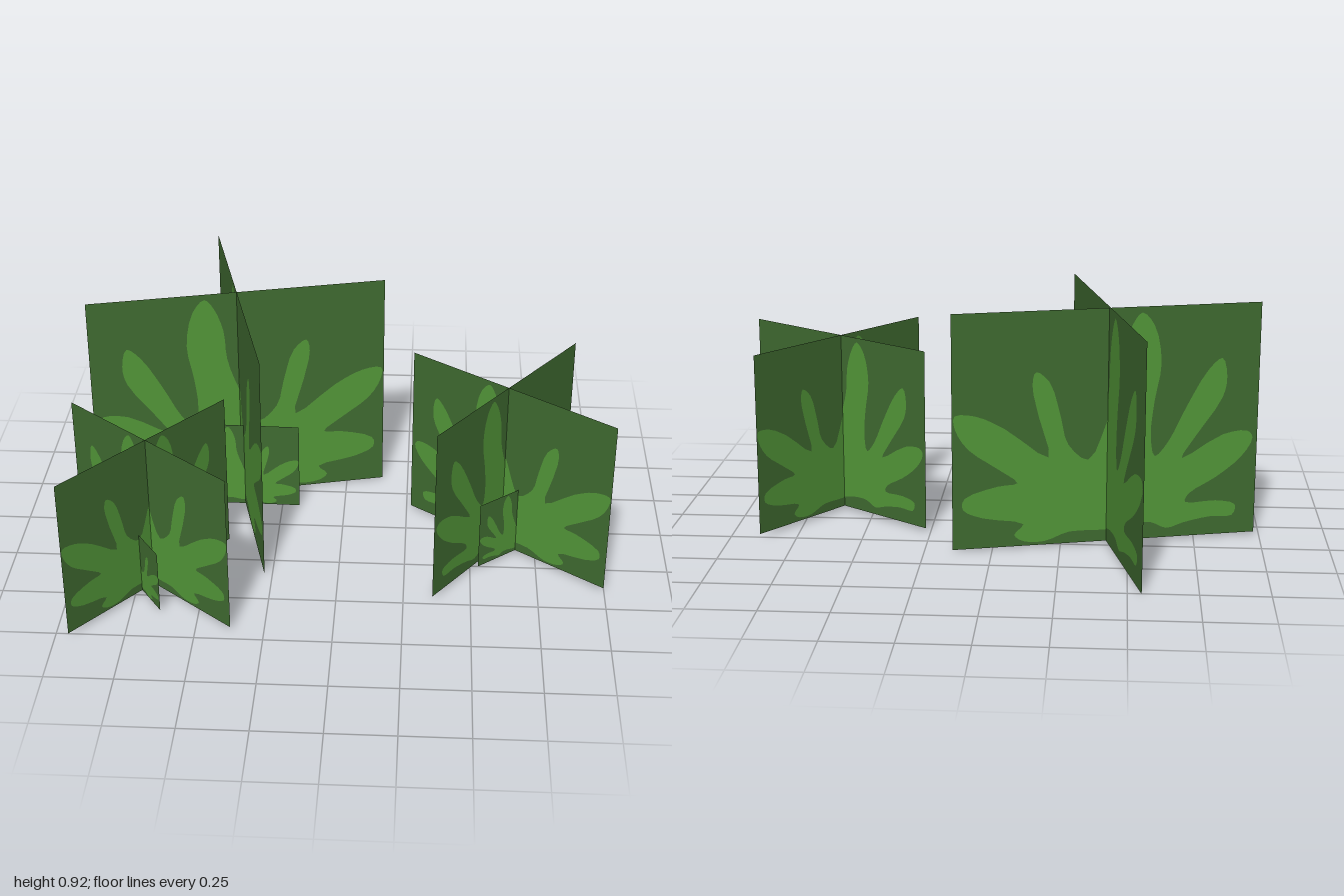
import * as THREE from 'three';

const background = new THREE.MeshStandardMaterial({ color: 0x3f6a30, side: THREE.DoubleSide });
background.name = 'dark green';
const leafGreen = new THREE.MeshStandardMaterial({ color: 0x529638, side: THREE.DoubleSide });
leafGreen.name = 'leaf green';

// Lobed leaf outline on a unit card, clockwise from the base
const leafPoints = [
  [0.5, 0.05], [0.42, 0.07], [0.35, 0.07], [0.297, 0.04], [0.24, 0.06], [0.15, 0.08], [0.077, 0.08],
  [0.067, 0.128], [0.133, 0.15], [0.235, 0.15], [0.224, 0.187], [0.133, 0.255], [0.05, 0.34], [0.015, 0.42],
  [0.034, 0.45], [0.114, 0.44], [0.25, 0.345], [0.205, 0.44], [0.12, 0.6], [0.107, 0.69], [0.125, 0.77],
  [0.17, 0.72], [0.242, 0.56], [0.297, 0.42], [0.34, 0.36], [0.355, 0.45], [0.345, 0.6], [0.325, 0.76],
  [0.35, 0.92], [0.39, 0.975], [0.42, 0.93], [0.45, 0.82], [0.46, 0.68], [0.5, 0.52], [0.56, 0.36],
  [0.625, 0.43], [0.65, 0.55], [0.687, 0.7], [0.73, 0.745], [0.742, 0.69], [0.72, 0.55], [0.69, 0.38],
  [0.83, 0.51], [0.924, 0.57], [0.99, 0.575], [0.99, 0.52], [0.948, 0.43], [0.853, 0.34], [0.79, 0.275],
  [0.853, 0.265], [0.96, 0.22], [0.965, 0.17], [0.9, 0.13], [0.77, 0.095], [0.8, 0.05], [0.77, 0.02],
  [0.7, 0.015], [0.62, 0.05],
];

function leafOutline() {
  const curve = new THREE.CatmullRomCurve3(
    leafPoints.map(([u, v]) => new THREE.Vector3(u, v, 0)), true, 'centripetal');
  const clamp = (t) => THREE.MathUtils.clamp(t, 0.004, 0.996);
  return curve.getPoints(174).slice(0, -1).map((p) => new THREE.Vector2(clamp(p.x), clamp(p.y)));
}

// Maps a flat unit shape onto an upright card from a to b (x, z), leaning back by lean
function place(shape, a, b, y0, height, lean) {
  const geometry = new THREE.ShapeGeometry(shape);
  const pos = geometry.attributes.position;
  for (let i = 0; i < pos.count; i++) {
    const u = pos.getX(i), v = pos.getY(i);
    const x = a[0] + (b[0] - a[0]) * u;
    const z = a[1] + (b[1] - a[1]) * u;
    pos.setXYZ(i, x, y0 + height * v + lean * z, z - lean * (height * v - height / 2));
  }
  geometry.computeVertexNormals();
  return geometry;
}

export function createModel() {
  const model = new THREE.Group();
  model.name = 'leafyPlants';
  const outline = leafOutline();
  const leaf = new THREE.Shape(outline);
  const card = new THREE.Shape([[0, 0], [1, 0], [1, 1], [0, 1]].map(([x, y]) => new THREE.Vector2(x, y)));
  card.holes.push(new THREE.Path(outline));

  // Each plant: two crossed tall cards and one small card; ends are (x, z)
  const plants = [
    { name: 'backPlant', y0: 0.013, lean: 0.016, cards: [
      [[-0.98, -0.09], [0.145, -0.37], 0.895],
      [[-0.55, -0.763], [-0.277, 0.36], 0.9],
      [[-0.64, -0.14], [-0.18, -0.13], 0.36]] },
    { name: 'frontRightPlant', y0: 0.015, lean: 0, cards: [
      [[-1, 0.185], [-0.372, 0.7], 0.627],
      [[-0.436, 0.133], [-0.952, 0.767], 0.627],
      [[-0.82, 0.35], [-0.64, 0.61], 0.247]] },
    { name: 'leftPlant', y0: 0.015, lean: 0, cards: [
      [[0.267, -0.145], [0.998, 0.388], 0.695],
      [[0.358, 0.474], [0.888, -0.255], 0.695],
      [[0.53, 0.27], [0.8, 0.05], 0.275]] },
  ];

  for (const { name, y0, lean, cards } of plants) {
    const plant = new THREE.Group();
    plant.name = name;
    cards.forEach(([a, b, height], i) => {
      const group = new THREE.Group();
      group.name = i < 2 ? 'tallLeafCard' : 'smallLeafCard';
      const back = new THREE.Mesh(place(card, a, b, y0, height, lean), background);
      back.name = 'leafBackground';
      const front = new THREE.Mesh(place(leaf, a, b, y0, height, lean), leafGreen);
      front.name = 'leaf';
      group.add(back, front);
      plant.add(group);
    });
    model.add(plant);
  }
  return model;
}
